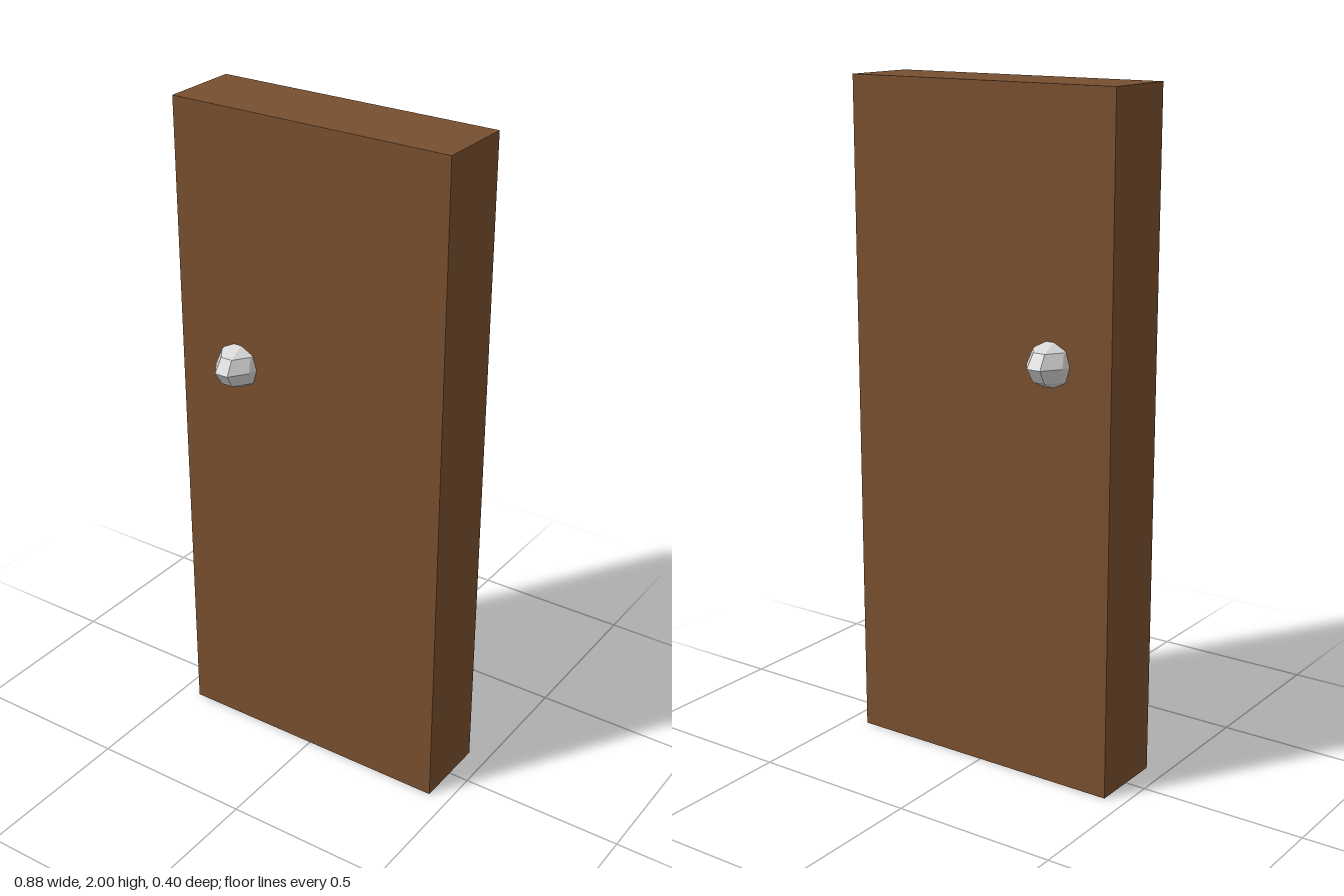
import * as THREE from 'three';

export function createModel() {
  const wood = new THREE.MeshStandardMaterial({ color: 0x784f2f });
  wood.name = 'brown wood';
  const metal = new THREE.MeshStandardMaterial({ color: 0xd6d6d6 });
  metal.name = 'pale metal';
  metal.flatShading = true;

  const group = new THREE.Group();
  group.name = 'door';

  // Plain slab
  const slab = new THREE.Mesh(new THREE.BoxGeometry(0.876, 2, 0.237), wood);
  slab.name = 'doorSlab';
  slab.position.y = 1;
  group.add(slab);

  // One stretched faceted ball passes through the slab, making a knob on each side.
  // The half-segment turn puts a flat facet at each end.
  const ball = new THREE.SphereGeometry(1, 12, 6);
  ball.rotateY(Math.PI / 12);
  ball.scale(0.083, 0.083, 0.206);
  const knob = new THREE.Mesh(ball, metal);
  knob.name = 'doorKnob';
  knob.position.set(-0.24, 1.245, 0);
  group.add(knob);

  return group;
}
